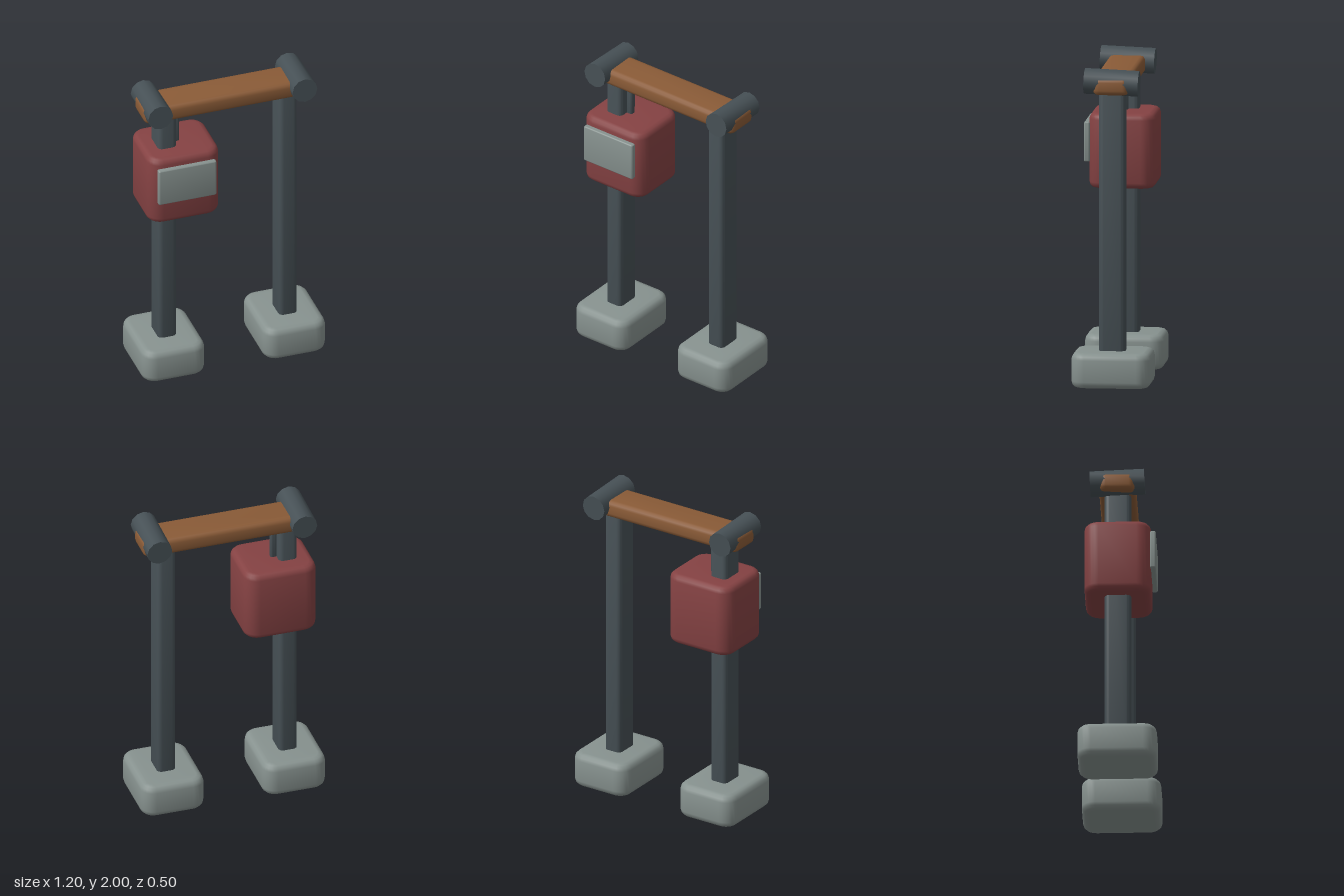
import * as THREE from 'three';
import { toCreasedNormals } from 'three/addons/utils/BufferGeometryUtils.js';

const mat = (name, color) => {
  const m = new THREE.MeshStandardMaterial({ color });
  m.name = name;
  return m;
};

// Block centred on the origin: plan corners of radius r, top and bottom edges rounded by b
function softBlock(w, h, d, r, b) {
  const x = w / 2, z = d / 2;
  const s = new THREE.Shape();
  s.moveTo(x, -z + r);
  s.lineTo(x, z - r);
  s.absarc(x - r, z - r, r, 0, Math.PI / 2);
  s.lineTo(-x + r, z);
  s.absarc(-x + r, z - r, r, Math.PI / 2, Math.PI);
  s.lineTo(-x, -z + r);
  s.absarc(-x + r, -z + r, r, Math.PI, Math.PI * 1.5);
  s.lineTo(x - r, -z);
  s.absarc(x - r, -z + r, r, Math.PI * 1.5, Math.PI * 2);
  const g = new THREE.ExtrudeGeometry(s, {
    depth: h - 2 * b, curveSegments: 3, bevelEnabled: true,
    bevelThickness: b, bevelSize: b, bevelOffset: -b, bevelSegments: 3,
  });
  g.rotateX(-Math.PI / 2);
  g.translate(0, -(h / 2 - b), 0);
  return toCreasedNormals(g, 0.75);
}

export function createModel() {
  const group = new THREE.Group();
  const slate = mat('dark slate', 0x465055);
  const grey = mat('pale grey', 0x87928f);
  const red = mat('dull red', 0x854243);
  const wood = mat('wood brown', 0x8a5b37);

  const add = (name, geometry, material, x, y, z) => {
    const m = new THREE.Mesh(geometry, material);
    m.name = name;
    m.position.set(x, y, z);
    group.add(m);
    return m;
  };

  const footGeo = softBlock(0.41, 0.22, 0.495, 0.085, 0.042);
  const postGeo = softBlock(0.12, 1.86, 0.165, 0.03, 0.012);
  const rollerGeo = toCreasedNormals(
    new THREE.CylinderGeometry(0.081, 0.081, 0.34, 12).rotateX(Math.PI / 2), 0.75);

  // Foot, post and cross roller on each side
  for (const [side, label] of [[-1, 'right'], [1, 'left']]) {
    add(label + 'Foot', footGeo, grey, side * 0.397, 0.11, -0.002);
    add(label + 'Post', postGeo, slate, side * 0.397, 0.945, 0);
    const roller = add(label + 'Roller', rollerGeo, slate, side * 0.474, 1.914, -0.002);
    roller.rotation.x = -0.04; // front end slightly raised
  }

  // Top beam
  add('beam', softBlock(1.11, 0.11, 0.228, 0.042, 0.03), wood, 0, 1.895, -0.002);

  // Hanging box, its front panel and the thin conduit above it
  add('box', softBlock(0.47, 0.47, 0.415, 0.09, 0.038), red, -0.32, 1.39, 0);
  add('panel', softBlock(0.38, 0.25, 0.036, 0.011, 0.008), grey, -0.32, 1.443, 0.22);
  add('conduit', softBlock(0.04, 0.3, 0.04, 0.012, 0.005), slate, -0.32, 1.73, 0);

  return group;
}
